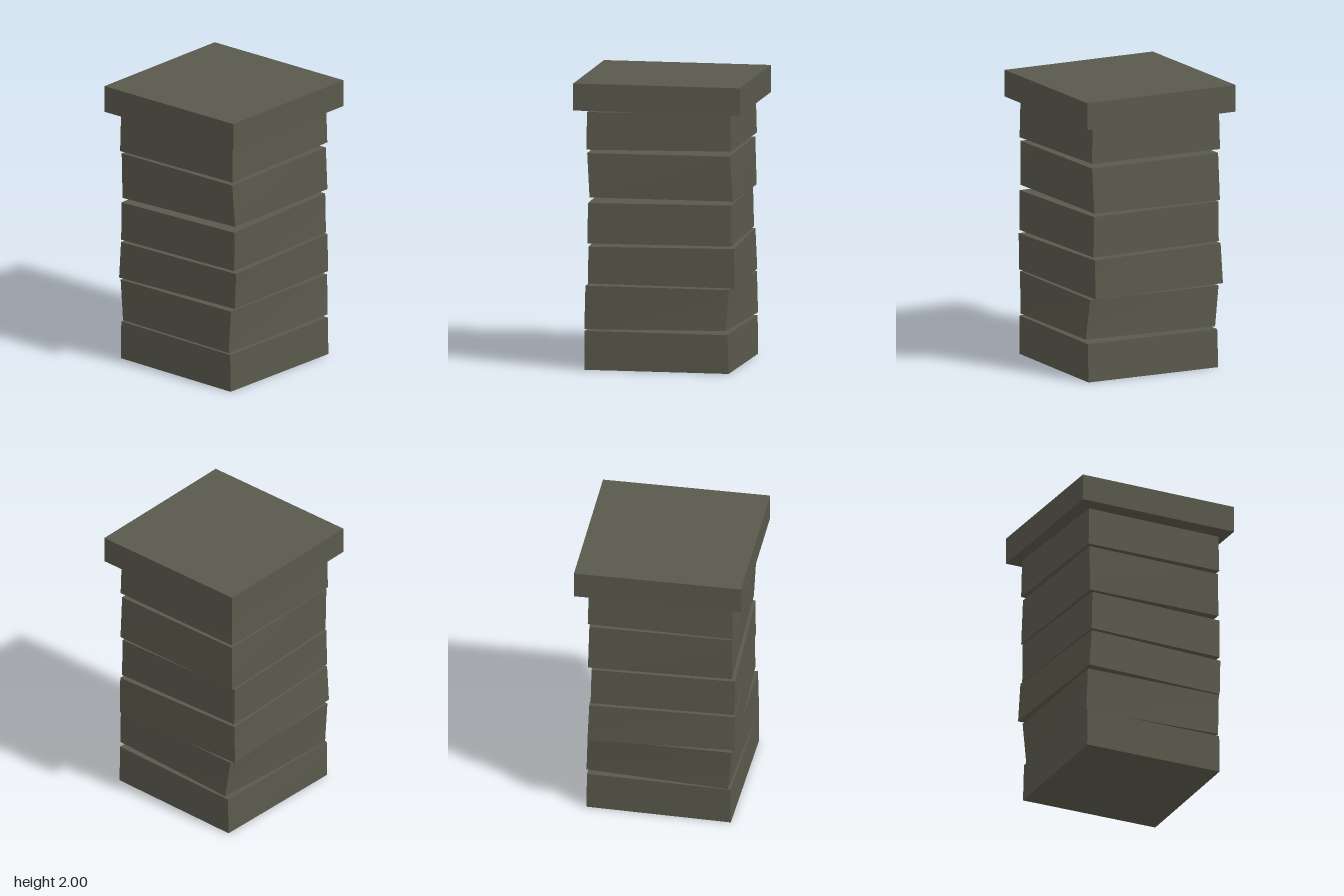
import * as THREE from 'three';

const stone = new THREE.MeshStandardMaterial({ color: 0x5a594c });
stone.name = 'weathered stone';

// One end of a block: mean height, slopes along x and z, yaw, centre offset, width
const end = (y, slopeX = 0, slopeZ = 0, yaw = 0, x = 0, z = 0, size = 1) =>
  ({ y, slopeX, slopeZ, yaw, x, z, size });

// Hand-cut block: a box whose bottom and top faces are each turned and tilted
function cutBlock(name, bottom, top) {
  const geo = new THREE.BoxGeometry(1, 1, 1);
  const pos = geo.attributes.position;
  for (let i = 0; i < pos.count; i++) {
    const e = pos.getY(i) < 0 ? bottom : top;
    const px = pos.getX(i) * e.size, pz = pos.getZ(i) * e.size;
    const c = Math.cos(e.yaw), s = Math.sin(e.yaw);
    const x = px * c + pz * s, z = pz * c - px * s;
    pos.setXYZ(i, x + e.x, e.y + x * e.slopeX + z * e.slopeZ, z + e.z);
  }
  geo.computeVertexNormals();
  const mesh = new THREE.Mesh(geo, stone);
  mesh.name = name;
  return mesh;
}

export function createModel() {
  const pillar = new THREE.Group();
  pillar.name = 'stonePillar';

  // Shaft blocks from the ground up, with thin open joints between them
  const shaft = [
    [end(0.004, 0, 0, -0.015, -0.003, 0.008, 1.01), end(0.273, 0, 0, -0.02, -0.005, 0.01, 1.005)],
    [end(0.29, 0.018, 0.008, -0.04, -0.003, 0.015, 0.995), end(0.582, -0.004, 0.007, -0.005, -0.005, 0.003, 1.005)],
    [end(0.597, -0.014, 0.004, 0.035, 0.003, -0.007, 1.02), end(0.866, 0.004, -0.004, 0.04, 0, 0.003, 1.01)],
    [end(0.883, 0, 0, 0.03, -0.008, 0.003, 1.0), end(1.162, 0.004, 0.006, 0.035, -0.01, 0.003, 0.995)],
    [end(1.189, -0.006, 0.02, 0.025, 0.008, 0.002, 1.0), end(1.508, 0, 0, 0.01, -0.005, 0.002, 0.995)],
    [end(1.534, 0.012, 0.008, 0.01, -0.003, 0, 1.01), end(1.8, 0.016, 0, 0.012, -0.004, 0, 1.0)],
  ];
  shaft.forEach(([bottom, top], i) => pillar.add(cutBlock(`shaftBlock${i + 1}`, bottom, top)));

  // Wide capstone
  pillar.add(cutBlock('capstone',
    end(1.81, -0.004, 0, 0.004, 0, 0, 1.165),
    end(1.998, -0.003, 0, 0.004, 0, 0, 1.165)));
  return pillar;
}
